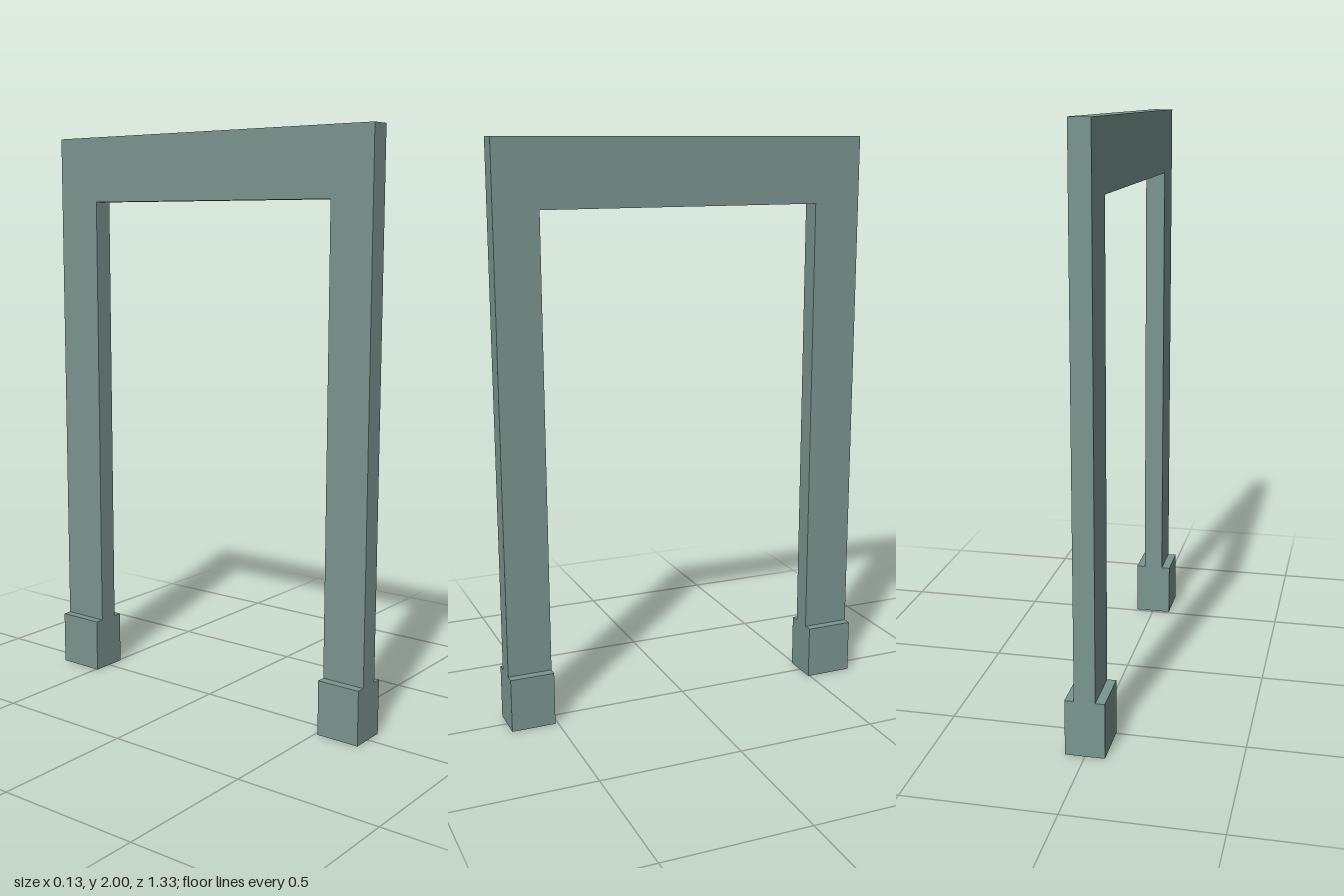
import * as THREE from 'three';

const HALF = 0.665;      // half the frame's span along z
const HEIGHT = 2;
const THICK = 0.07;      // frame thickness along x
const OPENING = 1.77;    // underside of the lintel
const FOOT = { width: 0.132, height: 0.19 };

// Outer and inner z of each leg; the back leg is slightly wider
const LEGS = [
  { name: 'front', z0: 0.51, z1: HALF },
  { name: 'back', z0: -HALF, z1: -0.494 },
];

export function createModel() {
  const model = new THREE.Group();
  model.name = 'doorFrame';
  const paint = new THREE.MeshStandardMaterial({ color: 0x7b958f });
  paint.name = 'greyGreenPaint';

  // One-piece frame: both legs and the lintel, drawn as (z, y) and extruded along x
  const [front, back] = LEGS;
  const outline = new THREE.Shape([
    [-HALF, FOOT.height], [back.z1, FOOT.height], [back.z1, OPENING], [front.z0, OPENING],
    [front.z0, FOOT.height], [HALF, FOOT.height], [HALF, HEIGHT], [-HALF, HEIGHT],
  ].map(([z, y]) => new THREE.Vector2(-z, y)));
  const frameGeometry = new THREE.ExtrudeGeometry(outline, { depth: THICK, bevelEnabled: false });
  frameGeometry.translate(0, 0, -THICK / 2).rotateY(Math.PI / 2);
  const frame = new THREE.Mesh(frameGeometry, paint);
  frame.name = 'frame';
  model.add(frame);

  // Plinth block under each leg, flush with the leg along z
  for (const { name, z0, z1 } of LEGS) {
    const foot = new THREE.Mesh(new THREE.BoxGeometry(FOOT.width, FOOT.height, z1 - z0), paint);
    foot.name = `${name}Foot`;
    foot.position.set(0, FOOT.height / 2, (z0 + z1) / 2);
    model.add(foot);
  }
  return model;
}
